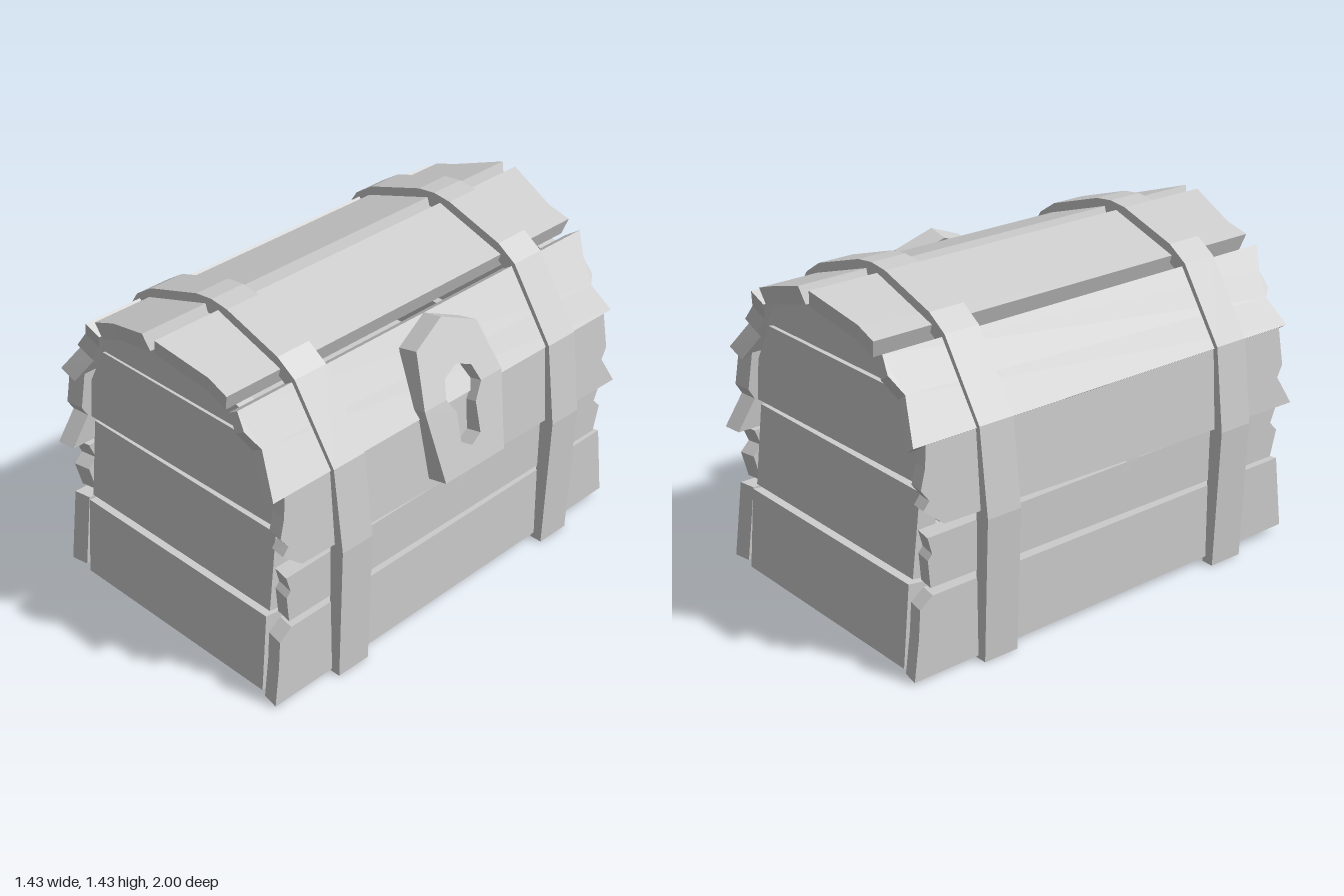
import * as THREE from 'three';

const grey = new THREE.MeshStandardMaterial({ color: 0xcccccc });
const CENTRE = -0.025; // the chest body sits slightly off x = 0

function extrude(points, depth) {
  const shape = new THREE.Shape(points.map(([x, y]) => new THREE.Vector2(x, y)));
  return new THREE.ExtrudeGeometry(shape, { depth, bevelEnabled: false });
}

// Move every vertex by a rule, then restore flat normals
function reshape(geo, rule) {
  const p = geo.attributes.position;
  const v = new THREE.Vector3();
  for (let i = 0; i < p.count; i++) {
    v.fromBufferAttribute(p, i);
    rule(v);
    p.setXYZ(i, v.x, v.y, v.z);
  }
  geo.computeVertexNormals();
  return geo;
}

function mesh(name, geo) {
  const m = new THREE.Mesh(geo, grey);
  m.name = name;
  return m;
}

// Long plank: outline in (z, fraction of height), lying between two outer section points
function plank(name, [x0, y0], [x1, y1], outline, thick = 0.075) {
  const dir = new THREE.Vector3(x1 - x0, y1 - y0, 0);
  const h = dir.length();
  dir.normalize();
  const geo = extrude(outline.map(([z, t]) => [-z, t * h]), thick);
  reshape(geo, (v) => {
    if (v.z < 0.001) v.x *= 0.985; // splintered ends slope inwards
    v.z -= thick;
  });
  const along = new THREE.Vector3(0, 0, -1);
  const out = new THREE.Vector3().crossVectors(along, dir);
  geo.applyMatrix4(new THREE.Matrix4().makeBasis(along, dir, out).setPosition(x0, y0, 0));
  return mesh(name, geo);
}

// End board: outline in (x, y), outer face leaning from z0 at y0 to z1 at y1
function endBoard(name, outline, y0, z0, y1, z1) {
  const thick = 0.085;
  const geo = reshape(extrude(outline, thick), (v) => {
    const y = v.y;
    if (v.z < 0.001) v.y -= 0.012;
    v.z += z0 + ((z1 - z0) * (y - y0)) / (y1 - y0) - thick;
  });
  return mesh(name, geo);
}

function strap() {
  const outer = [[0.67, 0.006], [0.691, 0.62], [0.645, 0.98], [0.445, 1.28], [0.355, 1.34], [0.085, 1.428]];
  const inner = [[0.615, 0.006], [0.625, 0.62], [0.585, 0.955], [0.4, 1.235], [0.325, 1.285], [0.07, 1.37]];
  const flip = (a) => a.map(([x, y]) => [-x, y]);
  const ring = [...outer, [0, 1.438], ...flip(outer).reverse(), ...flip(inner), ...[...inner].reverse()];
  const geo = extrude(ring, 0.16);
  geo.translate(CENTRE, 0, 0.53);
  return mesh('strap', geo);
}

// One side wall, half the lid, one end and one strap
function half() {
  const g = new THREE.Group();
  g.add(
    plank('lowerSidePlank', [0.605, 0.015], [0.6, 0.365],
      [[0.995, 0], [-0.98, 0.07], [-0.94, 1], [0.9, 0.96], [0.96, 0.84], [0.97, 0.5]]),
    plank('upperSidePlank', [0.6, 0.385], [0.6, 0.615],
      [[0.91, 0], [-0.9, 0], [-0.93, 0.5], [-0.89, 0.68], [-0.92, 1], [-0.14, 0.97],
        [-0.005, 0.61], [-0.07, 0.96], [0.92, 0.91], [0.9, 0.6], [0.92, 0.5]]),
    plank('lowerLidPlank', [0.625, 0.62], [0.6, 0.965],
      [[0.86, 0.07], [-0.08, 0.02], [-0.98, 0], [-0.9, 0.38], [-0.93, 0.52], [-0.91, 1],
        [0.92, 1], [0.93, 0.75], [0.955, 0.52], [0.92, 0.38], [0.95, 0.29]]),
    plank('middleLidPlank', [0.605, 0.97], [0.405, 1.265],
      [[0.98, 0], [-0.95, 0], [-0.9, 0.37], [-0.93, 0.48], [-0.92, 0.7], [-0.96, 1], [0.96, 1], [0.97, 0.78], [0.93, 0.54]]),
    plank('topLidPlank', [0.345, 1.295], [0.01, 1.405],
      [[0.955, 0], [0, 0], [-0.96, 0], [-0.95, 0.3], [-1, 1], [1, 1], [0.95, 0.3]]),
    endBoard('lowerEndBoard', [[-0.555, 0.02], [0.505, 0.02], [0.505, 0.37], [-0.555, 0.37]], 0.02, 0.97, 0.37, 0.94),
    endBoard('upperEndBoard', [[-0.555, 0.385], [0.505, 0.385], [0.505, 0.732], [-0.555, 0.732]], 0.385, 0.92, 0.732, 0.88),
    endBoard('lowerLidEnd', [[-0.57, 0.75], [0.54, 0.765], [0.53, 0.82], [0.415, 1.1], [-0.46, 1.1], [-0.55, 0.93]], 0.75, 0.885, 1.1, 0.885),
    endBoard('upperLidEnd', [[-0.475, 1.115], [0.425, 1.12], [0.36, 1.21], [0.05, 1.31], [-0.1, 1.31], [-0.41, 1.21]], 1.115, 0.89, 1.31, 0.89),
    strap(),
  );
  return g;
}

// Lock plate on the +x side: two flat panels meeting at a ridge across the keyhole
function lock() {
  const g = new THREE.Group();
  g.name = 'lock';
  const ridge = 1.02;
  const lower = [[-0.22, ridge], [-0.17, 0.7], [0.17, 0.7], [0.22, ridge], [0.1, ridge], [0.055, 0.95], [0.055, 0.82],
    [0, 0.79], [-0.055, 0.82], [-0.055, 0.95], [-0.1, ridge]];
  const upper = [[0.22, ridge], [0.17, 1.225], [0, 1.295], [-0.17, 1.225], [-0.22, ridge], [-0.1, ridge],
    [-0.075, 1.09], [0, 1.12], [0.075, 1.09], [0.1, ridge]];
  const panel = (name, outline, slope) => {
    const geo = extrude(outline, 0.09).rotateY(Math.PI / 2);
    reshape(geo, (v) => {
      const face = 0.635 - slope * (v.y - ridge);
      if (v.x < 0.01) v.y -= 0.02;
      v.x += face - 0.09;
    });
    g.add(mesh(name, geo));
  };
  panel('lowerLockPlate', lower, 0.235);
  panel('upperLockPlate', upper, 0.47);
  return g;
}

// Block inside the chest, given its height range and size
function block(name, y0, y1, width, length) {
  const geo = new THREE.BoxGeometry(width, y1 - y0, length);
  geo.translate(CENTRE, (y0 + y1) / 2, 0);
  return mesh(name, geo);
}

export function createModel() {
  const chest = new THREE.Group();
  chest.name = 'chest';
  const a = half();
  a.name = 'frontRightHalf';
  // The other half is the same, turned half way round
  const b = half();
  b.name = 'backLeftHalf';
  b.rotation.y = Math.PI;
  b.position.x = 2 * CENTRE;
  chest.add(a, b, lock(),
    block('innerFloor', 0.46, 0.5, 1.08, 1.62),
    block('contents', 0.5, 0.62, 1.07, 1.38));
  return chest;
}
